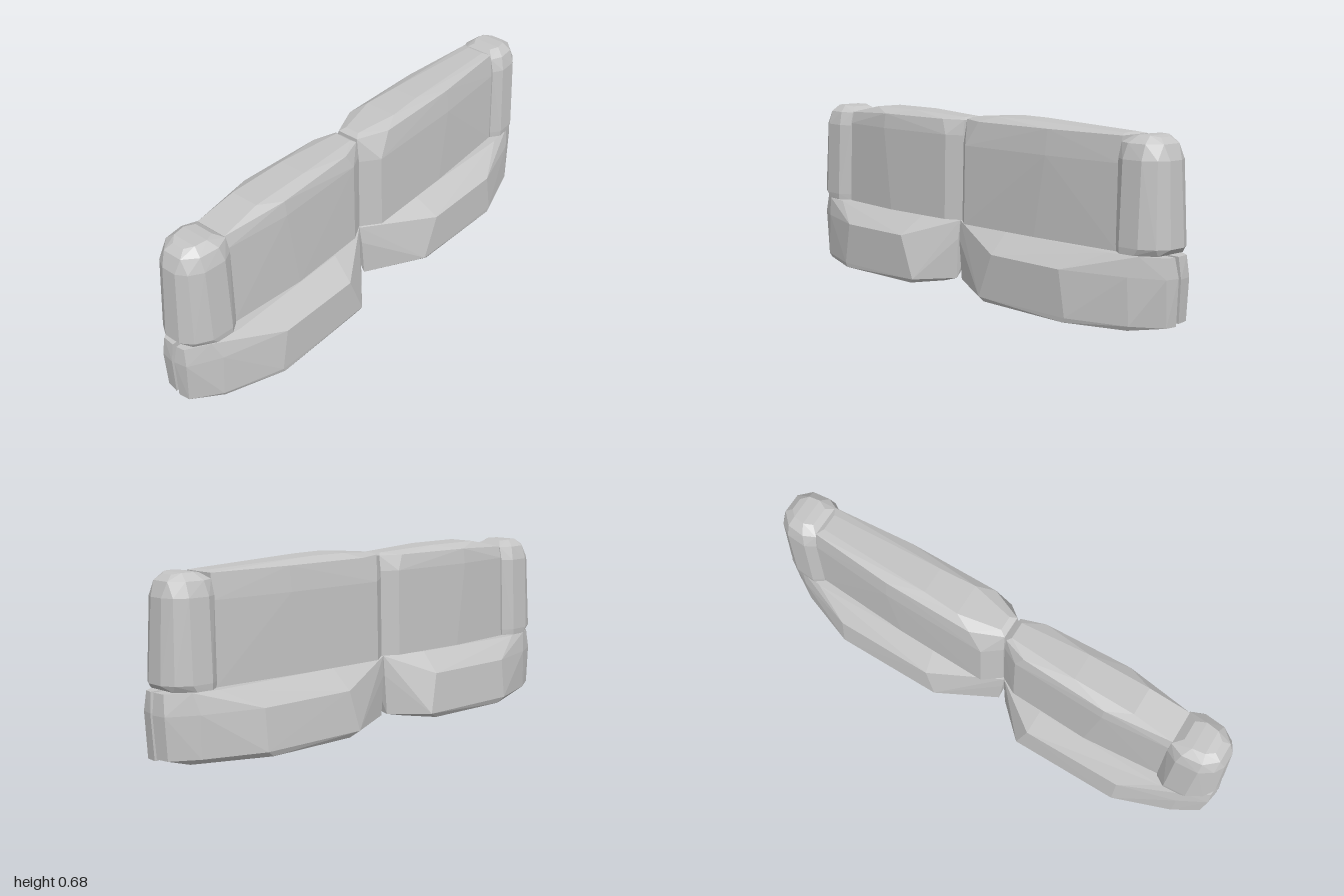
import * as THREE from 'three';
import { ConvexGeometry } from 'three/addons/geometries/ConvexGeometry.js';

const stoneGrey = new THREE.MeshStandardMaterial({ color: 0xc4c4c4 });
stoneGrey.name = 'stoneGrey';

// A faceted stone: the convex hull of horizontal outlines, each [y, [[x, z, dy], ...]]
function stone(name, layers, sx = 1, mapZ = (z) => z) {
  const points = [];
  for (const [y, outline] of layers) {
    for (const [x, z, dy = 0] of outline) points.push(new THREE.Vector3(x * sx, y + dy, mapZ(z)));
  }
  const mesh = new THREE.Mesh(new ConvexGeometry(points), stoneGrey);
  mesh.name = name;
  return mesh;
}

// Outline symmetric in x from [halfWidth, z, dy] entries
const both = (half) => half.flatMap(([x, z, dy]) => [[x, z, dy], [-x, z, dy]]);

// Base stones: flat towards the middle, bulging outwards, undercut along the inner edge
const leftBase = [
  [0.003, [[0.1, 0.12, 0.012], [0.195, 0.22], [0.203, 0.64], [0.12, 0.87]]],
  [0.02, [[0.005, 0.08, 0.08], [0.08, 0.07, 0.01], [0.204, 0.2], [0.204, 0.65], [0.125, 0.88], [0.05, 0.985], [0.004, 0.99]]],
  [0.19, [[0.004, 0.06], [0.08, 0.062], [0.204, 0.27], [0.204, 0.62], [0.125, 0.87], [0.06, 0.99], [0.008, 1]]],
  [0.263, [[0.003, 0.06], [0.07, 0.06], [0.11, 0.25], [0.122, 0.78], [0.1, 0.9], [0.05, 0.985], [0.018, 0.99]]],
];
const rightBase = [
  [0.006, [[0.1, 0.14, 0.008], [0.19, 0.24], [0.195, 0.62], [0.08, 0.9]]],
  [0.028, [[0.008, 0.08, 0.01], [0.08, 0.07], [0.204, 0.2], [0.204, 0.65], [0.12, 0.88], [0.06, 0.98], [0.009, 0.99]]],
  [0.185, [[0.003, 0.06], [0.075, 0.062], [0.19, 0.24], [0.188, 0.65], [0.12, 0.88], [0.06, 0.99], [0.004, 1]]],
  [0.263, [[0.001, 0.06], [0.07, 0.06], [0.11, 0.25], [0.12, 0.8], [0.1, 0.9], [0.05, 0.985], [0.001, 0.99]]],
];

// Long upper slabs, tapering towards the posts, with a softly bevelled top
const frontSlab = [
  [0.264, both([[0.065, 0.055], [0.1, 0.12], [0.112, 0.45], [0.085, 0.768]])],
  [0.6, both([[0.06, 0.053], [0.094, 0.12], [0.106, 0.5], [0.078, 0.768]])],
  [0.66, both([[0.05, 0.055], [0.082, 0.15], [0.098, 0.5], [0.065, 0.768, -0.012]])],
  [0.682, both([[0.035, 0.07, -0.012], [0.055, 0.35], [0.058, 0.6]])],
];
const backSlab = [
  [0.264, both([[0.065, 0.052], [0.12, -0.02], [0.112, -0.4], [0.088, -0.787]])],
  [0.57, both([[0.06, 0.05], [0.113, -0.02], [0.106, -0.45], [0.08, -0.787]])],
  [0.665, both([[0.045, 0.045], [0.097, -0.08], [0.094, -0.45], [0.066, -0.787]])],
  [0.687, both([[0.03, 0.02, -0.012], [0.065, -0.15], [0.055, -0.3], [0.035, -0.77, -0.015]])],
];

// Upright end posts with domed tops
const post = [
  [0.266, both([[0.092, 0.768], [0.119, 0.81], [0.114, 0.88], [0.065, 0.955]])],
  [0.29, both([[0.092, 0.766], [0.121, 0.81], [0.115, 0.9], [0.08, 0.96], [0.035, 0.99]])],
  [0.59, both([[0.084, 0.764], [0.108, 0.81], [0.102, 0.9], [0.07, 0.95], [0.03, 0.973]])],
  [0.645, both([[0.07, 0.766], [0.092, 0.82], [0.084, 0.9], [0.04, 0.95]])],
  [0.672, both([[0.04, 0.8, -0.004], [0.057, 0.84], [0.05, 0.89], [0.025, 0.92, -0.006]])],
];

export function createModel() {
  const group = new THREE.Group();
  group.name = 'stoneWall';

  // The back stones mirror the front ones, meeting them just ahead of the centre
  const toBackBase = (z) => (z < 0.2 ? 0.058 - (z - 0.06) * 1.84 : -z);
  const toBackPost = (z) => -0.787 - (z - 0.766) * 0.885;

  group.add(
    stone('frontLeftBaseStone', leftBase),
    stone('frontRightBaseStone', rightBase, -1),
    stone('backLeftBaseStone', leftBase, 1, toBackBase),
    stone('backRightBaseStone', rightBase, -1, toBackBase),
    stone('frontUpperSlab', frontSlab),
    stone('backUpperSlab', backSlab),
    stone('frontEndPost', post),
    stone('backEndPost', post, -1, toBackPost),
  );
  return group;
}
